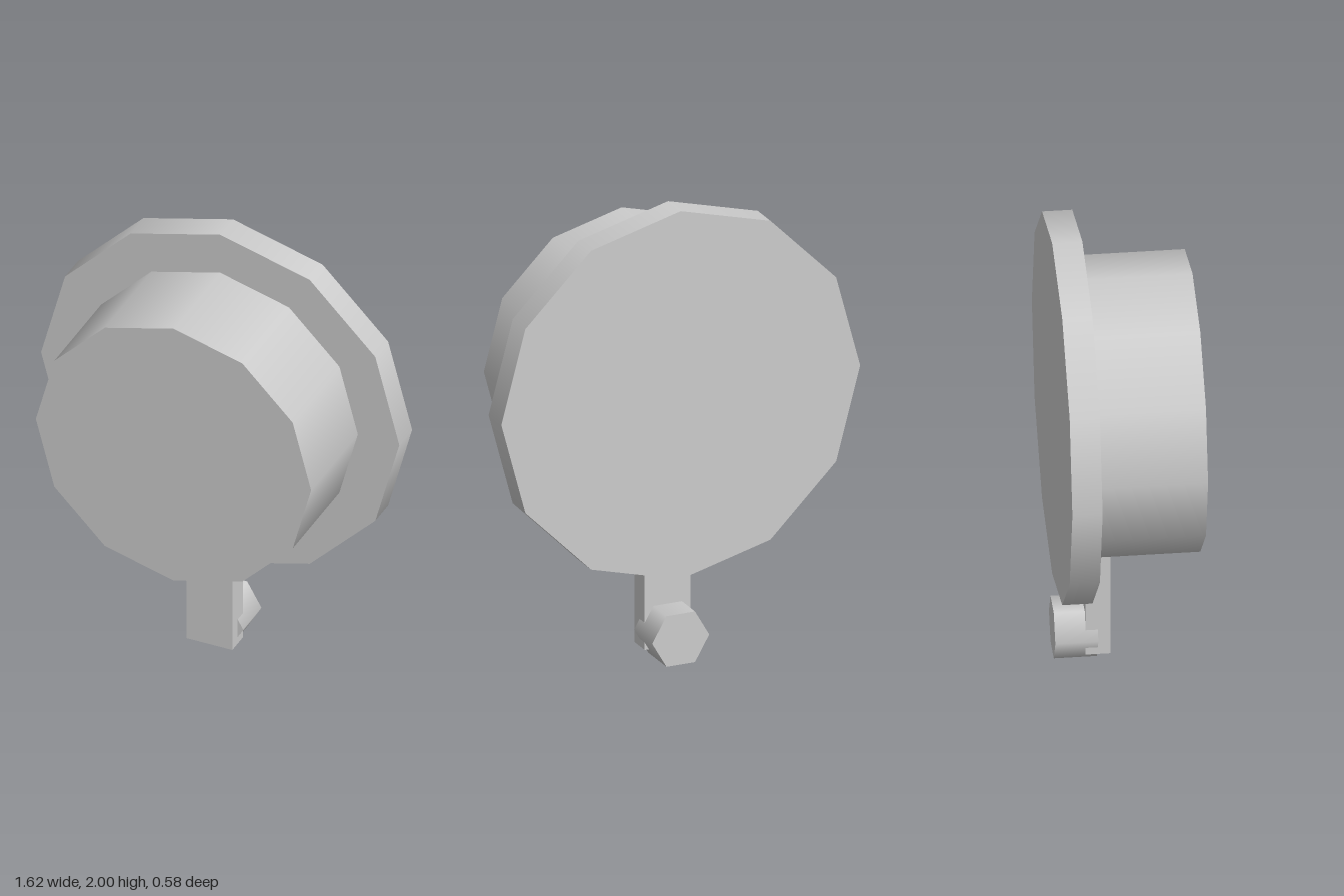
import * as THREE from 'three';

export function createModel() {
  const group = new THREE.Group();
  group.name = 'bellModel';
  const grey = new THREE.MeshStandardMaterial({ color: 0xcccccc });
  grey.name = 'light grey';

  const add = (name, geometry, y, z) => {
    const mesh = new THREE.Mesh(geometry, grey);
    mesh.name = name;
    mesh.position.set(0, y, z);
    group.add(mesh);
  };

  // Prism with smooth sides lying along z, from zBack to zFront
  const disc = (name, radius, sides, y, zBack, zFront, turn = 0) => {
    const geometry = new THREE.CylinderGeometry(radius, radius, zFront - zBack, sides, 1, false, turn);
    geometry.rotateX(Math.PI / 2);
    add(name, geometry, y, (zBack + zFront) / 2);
  };

  // Wide rear plate and the drum in front of it
  disc('backPlate', 0.812, 12, 1.188, -0.29, -0.165);
  disc('drum', 0.624, 12, 1.188, -0.165, 0.29);

  // Hanging arm with a six-sided knob behind its lower end
  add('arm', new THREE.BoxGeometry(0.208, 0.484, 0.102), 0.278, -0.111);
  disc('knob', 0.129, 6, 0.112, -0.29, -0.112, Math.PI / 2);

  return group;
}
